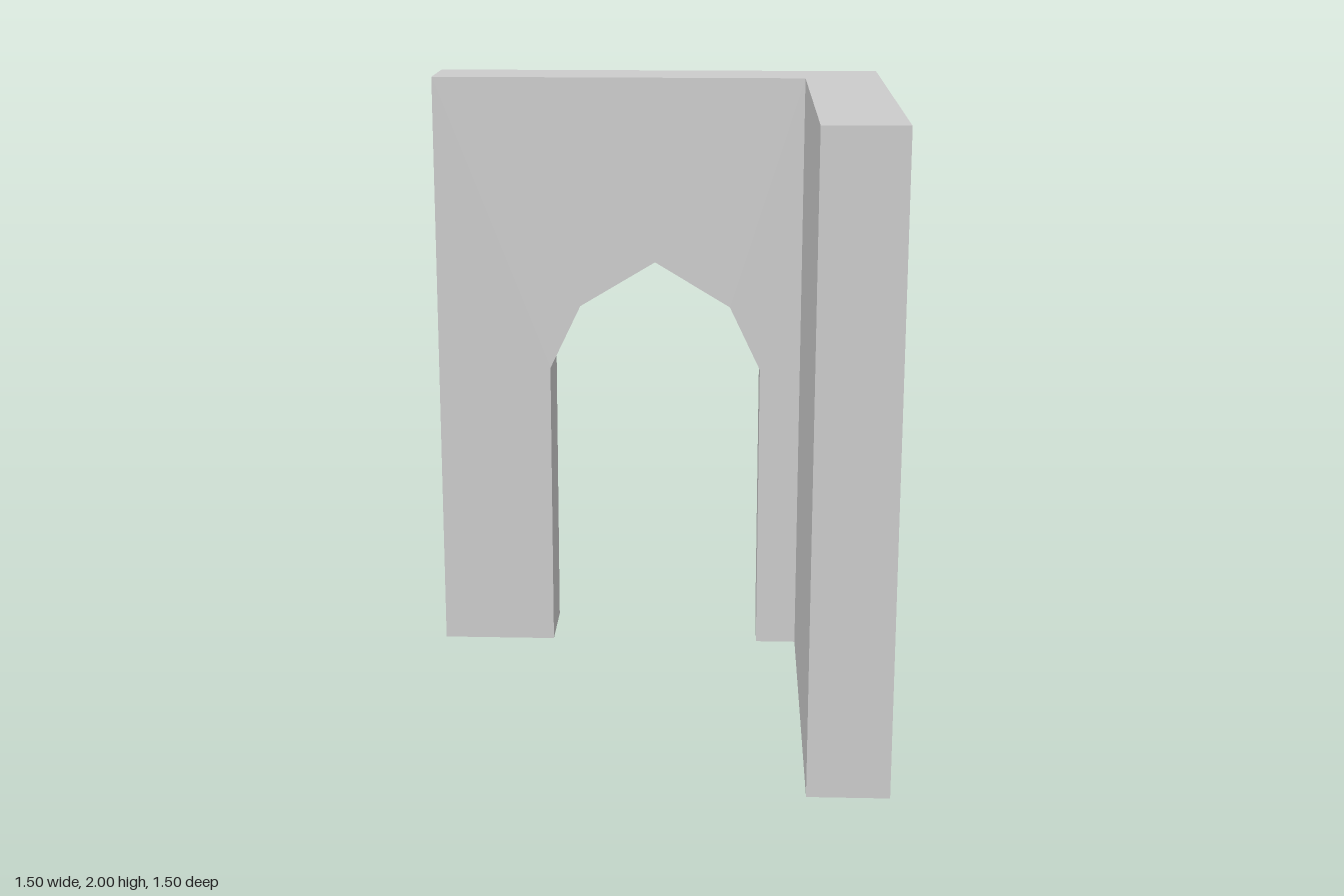
import * as THREE from 'three';

const H = 2, OUT = 0.75, IN = 0.5;

// Pointed arch outline, from one foot over the top to the other
const half = [[-0.3625, 0], [-0.3625, 1], [-0.257, 1.22]];
const arch = [...half, [0, 1.375], ...half.map(([x, y]) => [-x, y]).reverse()];

const shapeGeo = pts => new THREE.ShapeGeometry(new THREE.Shape(pts.map(p => new THREE.Vector2(...p))));

// Wall face from -OUT to right, with the doorway cut out of its lower edge
const archFace = right => shapeGeo([[-OUT, 0], ...arch, [right, 0], [right, H], [-OUT, H]]);

// Smooth inner lining of the doorway
function liningGeo() {
  const pos = [], idx = [];
  arch.forEach(([x, y], i) => {
    pos.push(x, y, -OUT, x, y, -IN);
    if (i) {
      const a = 2 * i - 2;
      idx.push(a, a + 2, a + 1, a + 1, a + 2, a + 3);
    }
  });
  const g = new THREE.BufferGeometry();
  g.setAttribute('position', new THREE.Float32BufferAttribute(pos, 3));
  g.setIndex(idx);
  g.computeVertexNormals();
  return g;
}

export function createModel() {
  const group = new THREE.Group();
  const material = new THREE.MeshStandardMaterial({ color: 0xcccccc, side: THREE.DoubleSide });
  const add = (name, geo, x, y, z) => {
    const mesh = new THREE.Mesh(geo, material);
    mesh.name = name;
    mesh.position.set(x, y, z);
    group.add(mesh);
  };
  const panel = (w, h, turn) => new THREE.PlaneGeometry(w, h).rotateY(turn);
  const Q = Math.PI / 2, T = OUT - IN, mid = (OUT + IN) / 2;

  // Wall with the doorway; its piers are open underneath
  add('archWallBack', archFace(OUT).rotateY(Math.PI), 0, 0, -OUT);
  add('archWallFront', archFace(IN), 0, 0, -IN);
  add('archLining', liningGeo(), 0, 0, 0);
  add('archWallEnd', panel(T, H, -Q), -OUT, H / 2, -mid);

  // Solid side wall
  add('sideWallOuter', panel(2 * OUT, H, Q), OUT, H / 2, 0);
  add('sideWallInner', panel(OUT + IN, H, -Q), IN, H / 2, T / 2);
  add('sideWallEnd', panel(T, H, 0), mid, H / 2, OUT);
  add('sideWallBase', new THREE.PlaneGeometry(T, 2 * OUT).rotateX(Q), mid, 0, 0);

  // L-shaped top shared by both walls
  const top = [[-OUT, IN], [IN, IN], [IN, -OUT], [OUT, -OUT], [OUT, OUT], [-OUT, OUT]];
  add('wallTop', shapeGeo(top).rotateX(-Q), 0, H, 0);

  return group;
}
